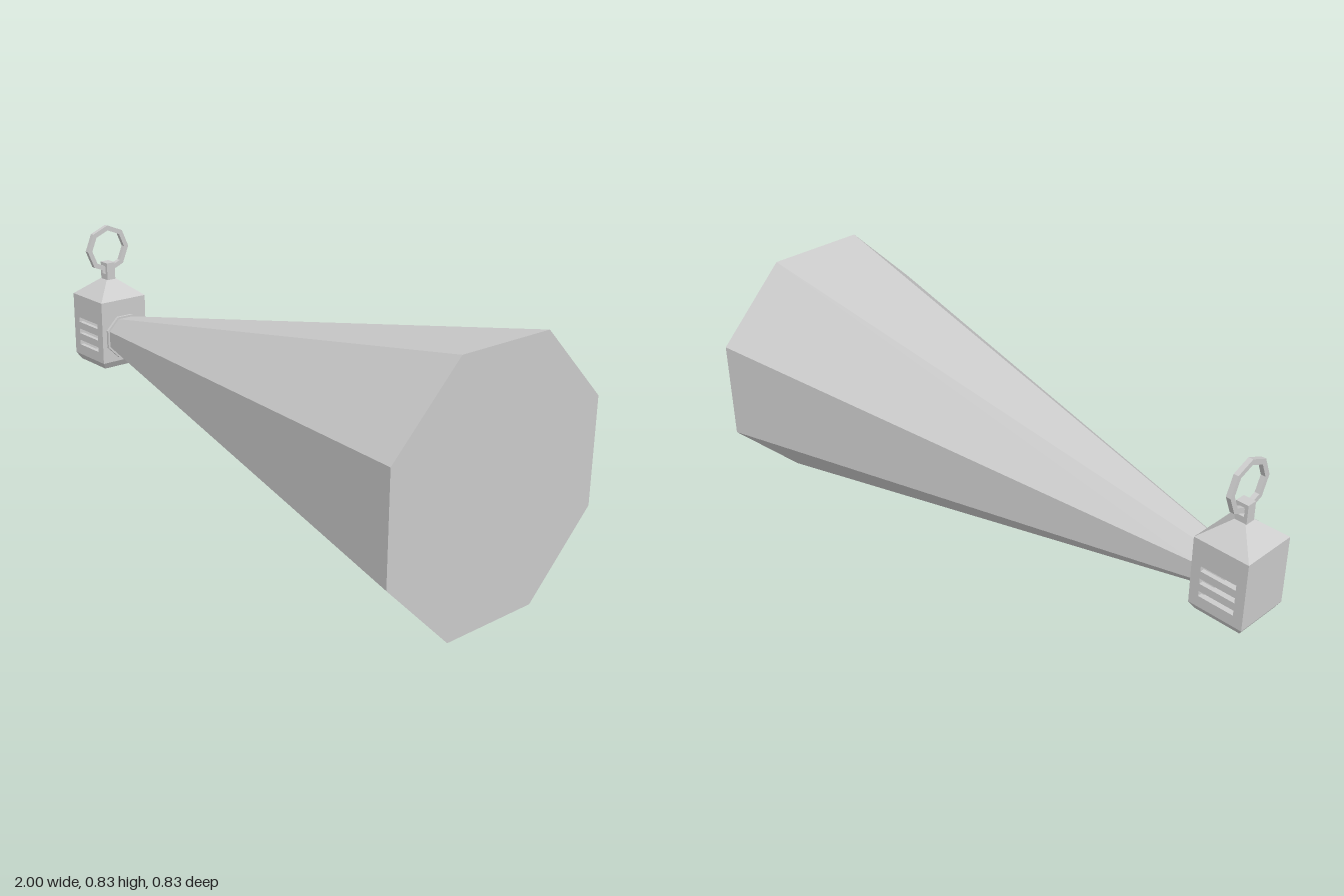
import * as THREE from 'three';

const material = new THREE.MeshStandardMaterial({ color: 0xcccccc, flatShading: true });
const HALF = 0.095;          // half width of the lantern body
const WALL = 0.015;
const BASE = 0.325, EAVES = 0.555;
const AXIS = 0.417;          // height of the beam axis
const CX = -0.905;           // lantern centre in x

function add(parent, name, geometry, x = 0, y = 0, z = 0) {
  const mesh = new THREE.Mesh(geometry, material);
  mesh.name = name;
  mesh.position.set(x, y, z);
  parent.add(mesh);
  return mesh;
}

// Regular prism or frustum given by its flat-to-flat half widths
function prism(topHalf, bottomHalf, height, sides) {
  const k = 1 / Math.cos(Math.PI / sides);
  return new THREE.CylinderGeometry(topHalf * k, bottomHalf * k, height, sides, 1, false, Math.PI / sides);
}

function polygon(points, PathType = THREE.Shape) {
  return new PathType(points.map(([x, y]) => new THREE.Vector2(x, y)));
}

function rectangle(x0, y0, x1, y1, PathType) {
  return polygon([[x0, y0], [x1, y0], [x1, y1], [x0, y1]], PathType);
}

function octagon(radius, PathType) {
  return polygon(Array.from({ length: 8 }, (_, i) => {
    const a = (i * Math.PI) / 4;
    return [radius * Math.cos(a), radius * Math.sin(a)];
  }), PathType);
}

function extrude(shape, depth) {
  return new THREE.ExtrudeGeometry(shape, { depth, bevelEnabled: false }).translate(0, 0, -depth / 2);
}

export function createModel() {
  const model = new THREE.Group();
  const lantern = new THREE.Group();
  lantern.name = 'lantern';
  lantern.position.x = CX;
  model.add(lantern);

  // Front and back walls, each pierced by three slots
  const wall = rectangle(-HALF, BASE, HALF, EAVES);
  for (const y of [0.372, 0.416, 0.46]) {
    wall.holes.push(rectangle(-0.062, y - 0.009, 0.062, y + 0.009, THREE.Path));
  }
  const wallGeometry = extrude(wall, WALL);
  add(lantern, 'frontWall', wallGeometry, 0, 0, HALF - WALL / 2);
  add(lantern, 'backWall', wallGeometry, 0, 0, -HALF + WALL / 2);

  // Plain side walls
  for (const s of [-1, 1]) {
    add(lantern, s < 0 ? 'rightWall' : 'leftWall',
      new THREE.BoxGeometry(WALL, EAVES - BASE, 2 * (HALF - WALL)),
      s * (HALF - WALL / 2), (BASE + EAVES) / 2, 0);
  }

  // Tapered base and hipped roof
  add(lantern, 'base', prism(HALF, 0.08, 0.025, 4), 0, BASE - 0.0125, 0);
  add(lantern, 'roof', prism(0.021, HALF, 0.06, 4), 0, EAVES + 0.03, 0);

  // Small lamp inside, hung from the roof
  add(lantern, 'lampStem', new THREE.CylinderGeometry(0.012, 0.012, 0.1, 6), 0, 0.505, 0);
  add(lantern, 'lamp', new THREE.SphereGeometry(0.032, 8, 6), 0, 0.435, 0);

  // Eyelet with a window for the ring to pass through
  const eyelet = rectangle(-0.021, 0.613, 0.021, 0.678);
  eyelet.holes.push(rectangle(-0.01, 0.636, 0.01, 0.662, THREE.Path));
  add(lantern, 'eyelet', extrude(eyelet, 0.034));

  // Octagonal carrying ring
  const ring = octagon(0.0875);
  ring.holes.push(octagon(0.069, THREE.Path));
  add(lantern, 'carryingRing', extrude(ring, 0.016), 0, 0.728, 0).rotation.y = Math.PI / 2;

  // Octagonal lens rim and the light beam widening from it
  add(model, 'lensRim', prism(0.077, 0.077, 0.01, 8), -0.805, AXIS, 0).rotation.z = -Math.PI / 2;
  add(model, 'lightBeam', prism(0.415, 0.068, 1.81, 8), 0.095, AXIS, 0).rotation.z = -Math.PI / 2;

  return model;
}
